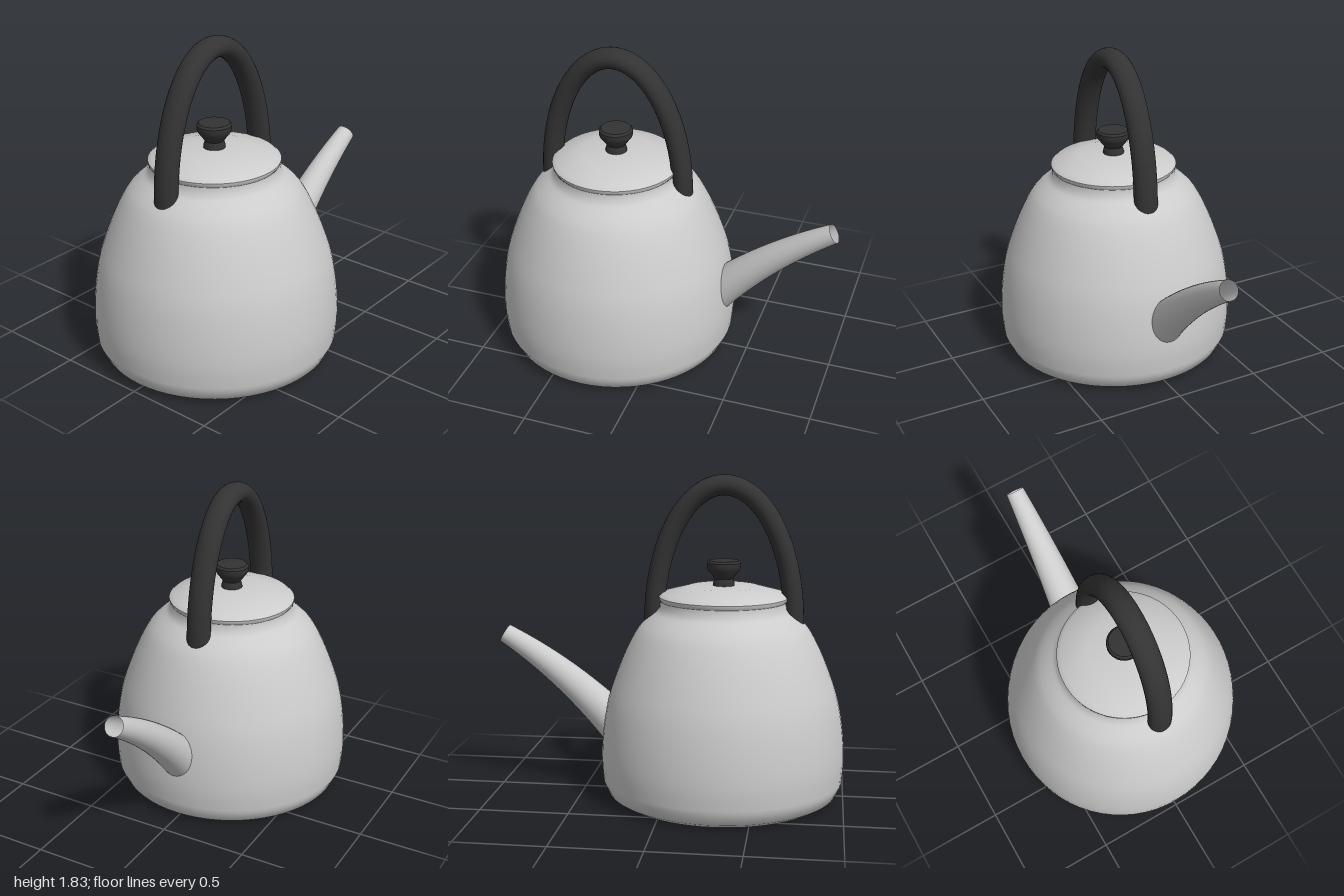
import * as THREE from 'three';
import { toCreasedNormals } from 'three/addons/utils/BufferGeometryUtils.js';

const CX = -0.305; // axis of the body, offset to balance the spout

const v2 = ([x, y]) => new THREE.Vector2(x, y);

function turned(name, points, material, segments = 64) {
  const geo = toCreasedNormals(new THREE.LatheGeometry(points, segments), 0.6);
  const mesh = new THREE.Mesh(geo, material);
  mesh.name = name;
  mesh.position.x = CX;
  return mesh;
}

export function createModel() {
  const steel = new THREE.MeshStandardMaterial({ color: 0xcccccc, side: THREE.DoubleSide });
  steel.name = 'brushed steel';
  const black = new THREE.MeshStandardMaterial({ color: 0x333333 });
  black.name = 'black plastic';

  const kettle = new THREE.Group();
  kettle.name = 'kettle';

  // Body: flat base, rounded foot, then a smooth side up to the neck
  const side = new THREE.SplineCurve([
    [0.685, 0.09], [0.695, 0.23], [0.683, 0.4], [0.655, 0.56], [0.61, 0.7],
    [0.553, 0.84], [0.495, 0.95], [0.445, 1.01], [0.38, 1.065],
  ].map(v2)).getPoints(32);
  const foot = [[0, 0], [0.61, 0], [0.655, 0.027]].map(v2);
  const neck = [[0.36, 1.09], [0.357, 1.125]].map(v2);
  kettle.add(turned('body', [...foot, ...side, ...neck], steel));

  // Lid with a rounded rim and a shallow sloping top
  kettle.add(turned('lid', [
    [0, 1.12], [0.352, 1.12], [0.363, 1.135], [0.365, 1.15], [0.342, 1.17],
    [0.2, 1.208], [0, 1.213],
  ].map(v2), steel));

  // Knob
  kettle.add(turned('lidKnob', [
    [0, 1.2], [0.062, 1.2], [0.06, 1.225], [0.052, 1.25], [0.09, 1.3],
    [0.096, 1.315], [0.096, 1.34], [0.085, 1.352], [0, 1.354],
  ].map(v2), black, 40));

  // Handle: half-ellipse arch with ends sunk into the shoulders
  const arch = [new THREE.Vector3(0.395, 0.93, 0)];
  for (let i = 0; i <= 24; i++) {
    const a = (i / 24) * Math.PI;
    arch.push(new THREE.Vector3(0.395 * Math.cos(a), 1 + 0.773 * Math.sin(a), 0));
  }
  arch.push(new THREE.Vector3(-0.395, 0.93, 0));
  const handleGeo = new THREE.TubeGeometry(new THREE.CatmullRomCurve3(arch), 80, 0.058, 24);
  handleGeo.scale(1, 1, 0.07 / 0.058); // wider than it is thick
  const handle = new THREE.Mesh(handleGeo, black);
  handle.name = 'handle';
  handle.position.x = CX;
  kettle.add(handle);

  // Spout: open curved tube, tapering towards the tip
  const path = new THREE.QuadraticBezierCurve3(
    new THREE.Vector3(0.27, 0.34, 0),
    new THREE.Vector3(0.585, 0.687, 0),
    new THREE.Vector3(0.967, 0.907, 0),
  );
  const steps = 24, sides = 32;
  const spoutGeo = new THREE.TubeGeometry(path, steps, 1, sides);
  const pos = spoutGeo.attributes.position;
  const p = new THREE.Vector3();
  for (let i = 0; i < pos.count; i++) {
    const t = Math.floor(i / (sides + 1)) / steps;
    const centre = path.getPointAt(t);
    p.fromBufferAttribute(pos, i).sub(centre);
    p.multiplyScalar(THREE.MathUtils.lerp(0.118, 0.055, t)).add(centre);
    pos.setXYZ(i, p.x, p.y, p.z);
  }
  const spout = new THREE.Mesh(spoutGeo, steel);
  spout.name = 'spout';
  kettle.add(spout);

  return kettle;
}
